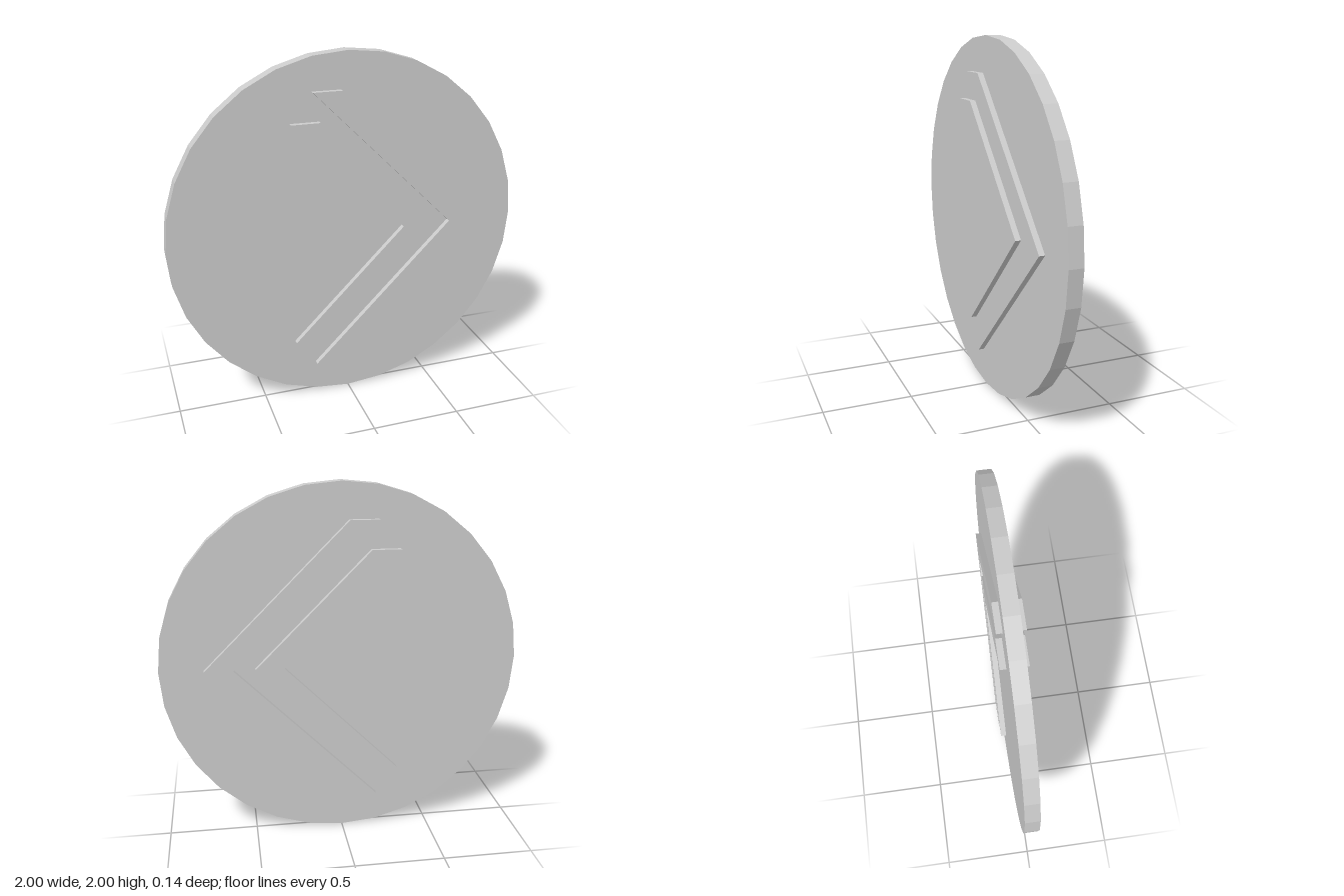
import * as THREE from 'three';

export function createModel() {
  const group = new THREE.Group();
  const material = new THREE.MeshStandardMaterial({ color: 0xcccccc, flatShading: true });

  // Faceted disc standing on its edge
  const discGeometry = new THREE.CylinderGeometry(1, 1, 0.08, 32);
  discGeometry.rotateX(Math.PI / 2);
  discGeometry.translate(0, 1, 0);
  const disc = new THREE.Mesh(discGeometry, material);
  disc.name = 'disc';
  group.add(disc);

  // Chevron running through the disc, raised on both faces
  function addChevron(name, tipX, halfHeight) {
    const width = 0.16;
    const endX = tipX - halfHeight;
    const shape = new THREE.Shape([
      new THREE.Vector2(tipX, 0),
      new THREE.Vector2(endX, halfHeight),
      new THREE.Vector2(endX - width, halfHeight),
      new THREE.Vector2(tipX - width, 0),
      new THREE.Vector2(endX - width, -halfHeight),
      new THREE.Vector2(endX, -halfHeight),
    ]);
    const depth = 0.144;
    const geometry = new THREE.ExtrudeGeometry(shape, { depth, bevelEnabled: false });
    geometry.translate(0, 1, -depth / 2);
    const chevron = new THREE.Mesh(geometry, material);
    chevron.name = name;
    group.add(chevron);
  }
  addChevron('largeChevron', 0.76, 0.8);
  addChevron('smallChevron', 0.48, 0.64);

  return group;
}
